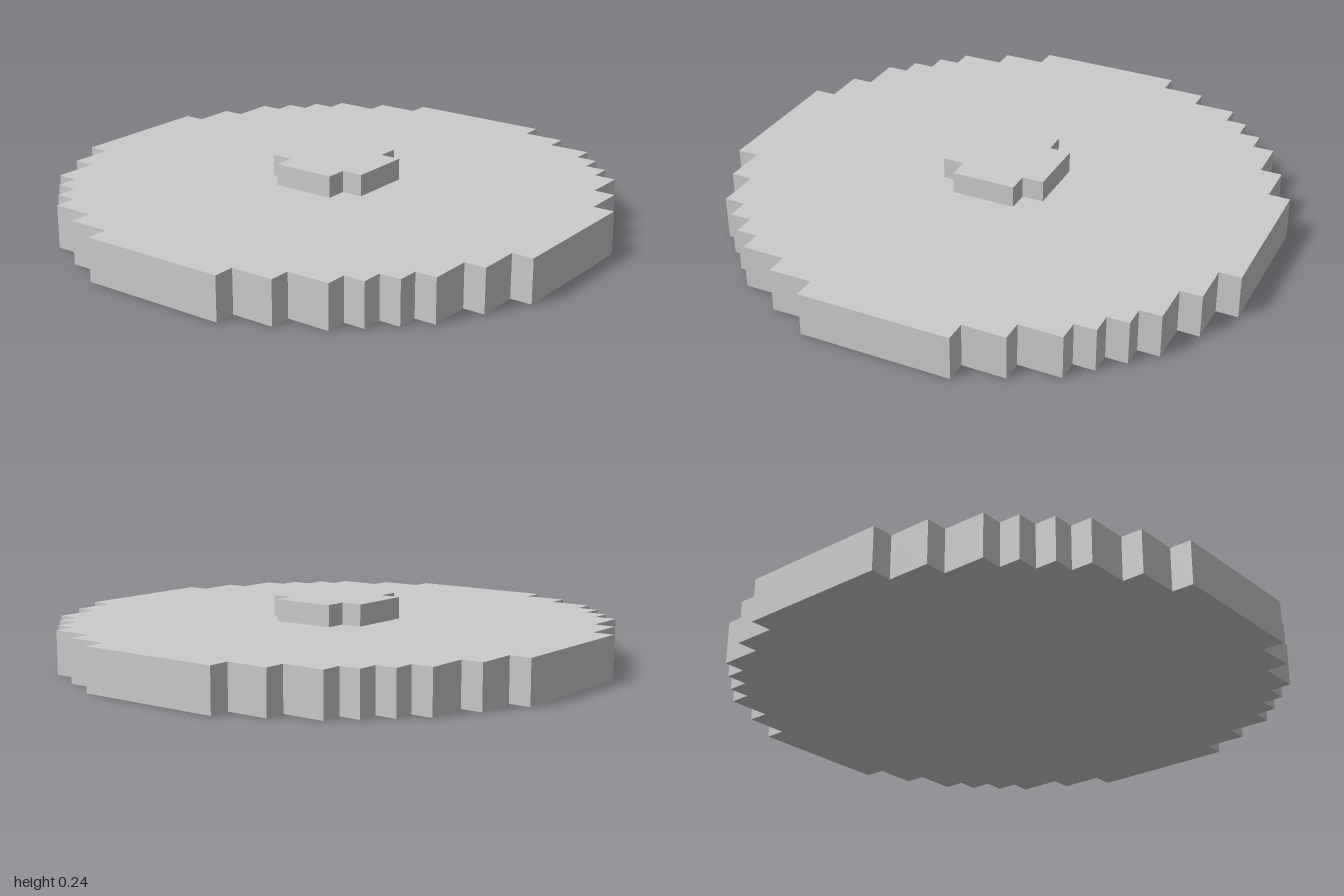
import * as THREE from 'three';

const CELL = 0.08; // size of one block

// Stepped disc: outer corners of one quadrant (in blocks), turned four times
function steppedDisc(name, corners, bottom, height) {
  const quadrant = [];
  corners.forEach(([x, y], i) => {
    if (i > 0) quadrant.push([x, corners[i - 1][1]]); // inner corner of the step
    quadrant.push([x, y]);
  });
  const points = [];
  for (let turn = 0; turn < 4; turn++) {
    for (const [x, y] of quadrant) {
      points.push(new THREE.Vector2(x, y).multiplyScalar(CELL)
        .rotateAround(new THREE.Vector2(), turn * Math.PI / 2));
    }
  }
  const geometry = new THREE.ExtrudeGeometry(new THREE.Shape(points), {
    depth: height * CELL, bevelEnabled: false,
  });
  geometry.rotateX(-Math.PI / 2);
  geometry.translate(0, bottom * CELL, 0);
  const mesh = new THREE.Mesh(geometry,
    new THREE.MeshStandardMaterial({ color: 0xcccccc, flatShading: true }));
  mesh.name = name;
  return mesh;
}

export function createModel() {
  const model = new THREE.Group();
  model.name = 'steppedRoundPlate';

  // Wide base plate, two blocks thick
  model.add(steppedDisc('basePlate', [
    [12.5, 3.5], [11.5, 5.5], [10.5, 7.5], [9.5, 8.5],
    [8.5, 9.5], [7.5, 10.5], [5.5, 11.5], [3.5, 12.5],
  ], 0, 2));

  // Small raised hub, one block thick
  model.add(steppedDisc('centreHub', [[2.5, 1.5], [1.5, 2.5]], 2, 1));

  return model;
}
